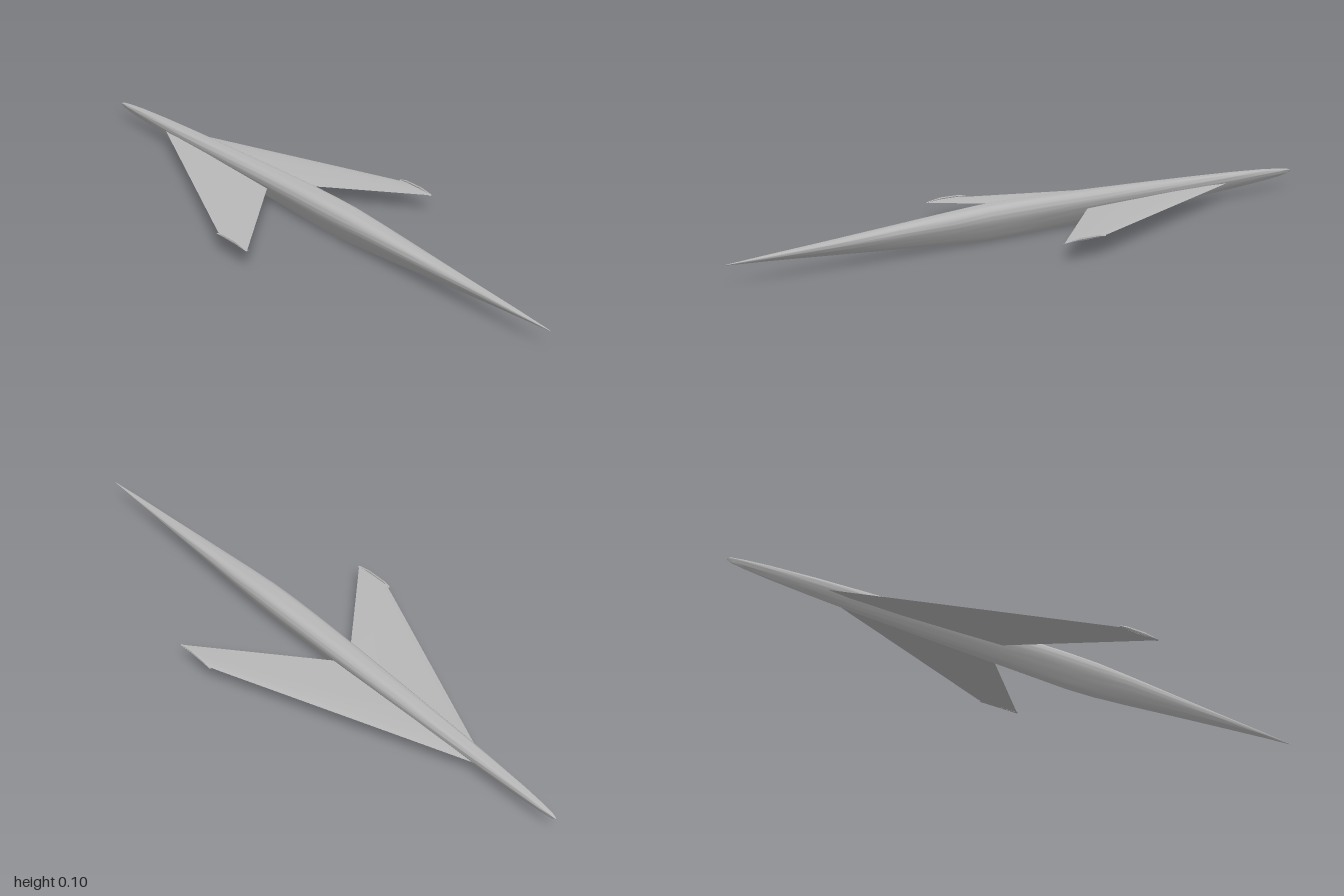
import * as THREE from 'three';
import { toCreasedNormals } from 'three/addons/utils/BufferGeometryUtils.js';

// Skin a list of equal-length rings (counter-clockwise seen from the loft's end) and cap both ends
function loft(rings, flip = false) {
  const n = rings[0].length, pos = rings.flat(2), idx = [];
  const tri = (a, b, c) => (flip ? idx.push(a, c, b) : idx.push(a, b, c));
  for (let i = 0; i < rings.length - 1; i++) {
    for (let j = 0; j < n; j++) {
      const a = i * n + j, b = i * n + (j + 1) % n;
      tri(a, b, a + n);
      tri(b, b + n, a + n);
    }
  }
  const end = (rings.length - 1) * n;
  for (let j = 1; j < n - 1; j++) {
    tri(0, j + 1, j);
    tri(end, end + j, end + j + 1);
  }
  const g = new THREE.BufferGeometry();
  g.setAttribute('position', new THREE.Float32BufferAttribute(pos, 3));
  g.setIndex(idx);
  return toCreasedNormals(g, 0.6);
}

// Half cross-section of the body: [depth from top 0..1, half width 0..1]
const half = new THREE.CatmullRomCurve3([
  [0, 0], [0, 0.5], [0.1, 0.88], [0.24, 1], [0.38, 0.95], [0.58, 0.72], [0.8, 0.38], [0.93, 0.15], [1, 0],
].map(([v, w]) => new THREE.Vector3(v, w, 0))).getPoints(20);
half.forEach(p => p.set(Math.min(1, Math.max(0, p.x)), Math.max(0, p.y), 0));

// Body stations: x, top y, bottom y, half width
const stations = [
  [-1, 0.058, 0.054, 0.002], [-0.985, 0.063, 0.048, 0.005], [-0.95, 0.067, 0.043, 0.009],
  [-0.88, 0.073, 0.037, 0.013], [-0.75, 0.080, 0.029, 0.019], [-0.6, 0.086, 0.022, 0.024],
  [-0.4, 0.093, 0.015, 0.029], [-0.2, 0.099, 0.009, 0.034], [0, 0.104, 0.003, 0.0375],
  [0.1, 0.105, 0, 0.038], [0.2, 0.104, 0.002, 0.037], [0.32, 0.098, 0.010, 0.033],
  [0.5, 0.088, 0.024, 0.025], [0.7, 0.077, 0.039, 0.016], [0.88, 0.068, 0.052, 0.008],
  [1, 0.0615, 0.0595, 0.001],
];

function bodyGeometry() {
  const outline = [...half.map(p => [p.x, p.y]), ...half.slice(1, -1).reverse().map(p => [p.x, -p.y])];
  return loft(stations.map(([x, top, bottom, w]) =>
    outline.map(([v, u]) => [x, top - v * (top - bottom), u * w])));
}

// Thin lens-shaped wing section, from the trailing edge over the top and back underneath
const foil = [[1, 0], [0.75, 0.5], [0.4, 1], [0.12, 0.7], [0, 0], [0.12, -0.7], [0.4, -1], [0.75, -0.5]];

function wingGeometry(side) {
  const ring = (z, lead, trail, t) =>
    foil.map(([c, h]) => [lead + c * (trail - lead), 0.0535 + h * t, side * z]);
  return loft([
    ring(0, -0.75, -0.18, 0.0055),
    ring(0.035, -0.663, -0.142, 0.005),
    ring(0.309, 0.012, 0.158, 0.002),
    ring(0.319, 0.04, 0.17, 0.0015),
  ], side < 0);
}

// Small upturned lip along the wing tip
function wingtipGeometry(side) {
  const curl = [[0.315, 0.052], [0.321, 0.053], [0.323, 0.057], [0.322, 0.062], [0.319, 0.063],
    [0.318, 0.060], [0.319, 0.057], [0.317, 0.055]];
  const ring = (x, s) => curl.map(([z, y]) => [x, 0.053 + (y - 0.053) * s, side * z]).reverse();
  return loft([ring(0.03, 0.3), ring(0.055, 0.9), ring(0.12, 1), ring(0.17, 0.15)], side > 0 ? false : true);
}

export function createModel() {
  const model = new THREE.Group();
  model.name = 'aircraft';
  const grey = new THREE.MeshStandardMaterial({ color: 0xb8b8b8 });
  grey.name = 'light grey';
  const add = (name, geometry) => {
    const mesh = new THREE.Mesh(geometry, grey);
    mesh.name = name;
    model.add(mesh);
  };

  add('fuselage', bodyGeometry());
  for (const [label, side] of [['front', 1], ['rear', -1]]) {
    add(label + 'Wing', wingGeometry(side));
    add(label + 'Wingtip', wingtipGeometry(side));
  }
  return model;
}
